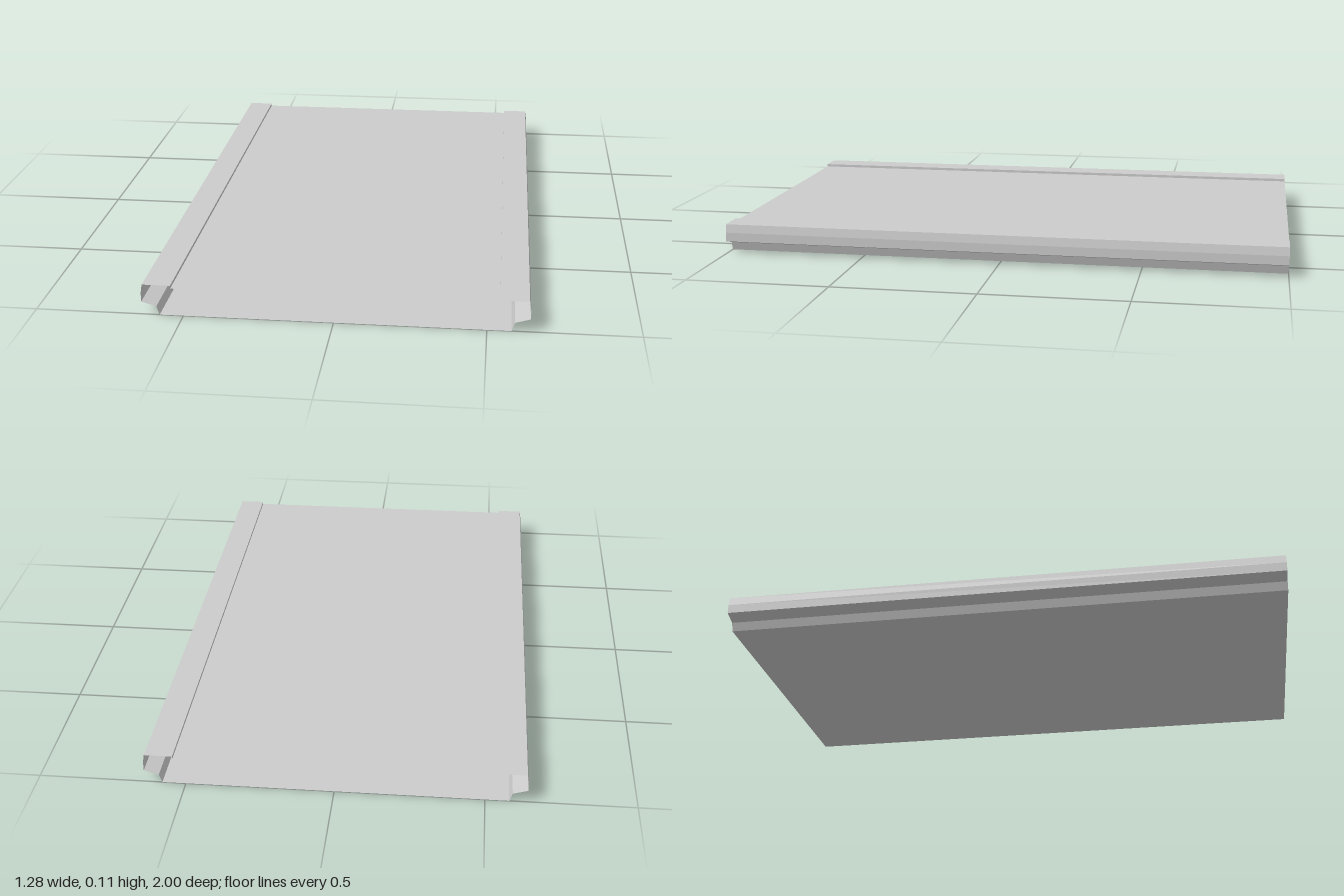
import * as THREE from 'three';

const HALF_LENGTH = 1;

// Thin open sheet: a cross-section polyline (x, y) drawn out along z.
// Walking clockwise as seen from the front keeps the normals outward.
function sheet(name, points, material) {
  let geometry = new THREE.PlaneGeometry(1, 2, points.length - 1, 1);
  const position = geometry.attributes.position;
  for (let i = 0; i < position.count; i++) {
    const [x, y] = points[i % points.length];
    position.setXYZ(i, x, y, i < points.length ? -HALF_LENGTH : HALF_LENGTH);
  }
  geometry = geometry.toNonIndexed();
  geometry.computeVertexNormals();
  const mesh = new THREE.Mesh(geometry, material);
  mesh.name = name;
  return mesh;
}

export function createModel() {
  const group = new THREE.Group();
  group.name = 'hollowPanel';
  const material = new THREE.MeshStandardMaterial({
    color: 0xcccccc, flatShading: true, side: THREE.DoubleSide,
  });

  // Cross-section of the left edge, from the top panel down to the base
  const edges = {
    RaisedRim: [[0.54, 0.097], [0.54, 0.107], [0.635, 0.107]],
    OuterWall: [[0.635, 0.107], [0.64, 0.077], [0.64, 0.045]],
    UnderLedge: [[0.64, 0.045], [0.59, 0.03]],
    LowerWall: [[0.59, 0.03], [0.58, 0]],
  };

  // Recessed top panel and flat base; both ends stay open
  group.add(sheet('topPanel', [[-0.54, 0.097], [0.54, 0.097]], material));
  group.add(sheet('basePanel', [[0.58, 0], [-0.58, 0]], material));

  // Long edges, mirrored with the walking direction reversed
  for (const [part, points] of Object.entries(edges)) {
    const mirrored = points.map(([x, y]) => [-x, y]).reverse();
    group.add(sheet('left' + part, points, material));
    group.add(sheet('right' + part, mirrored, material));
  }
  return group;
}
